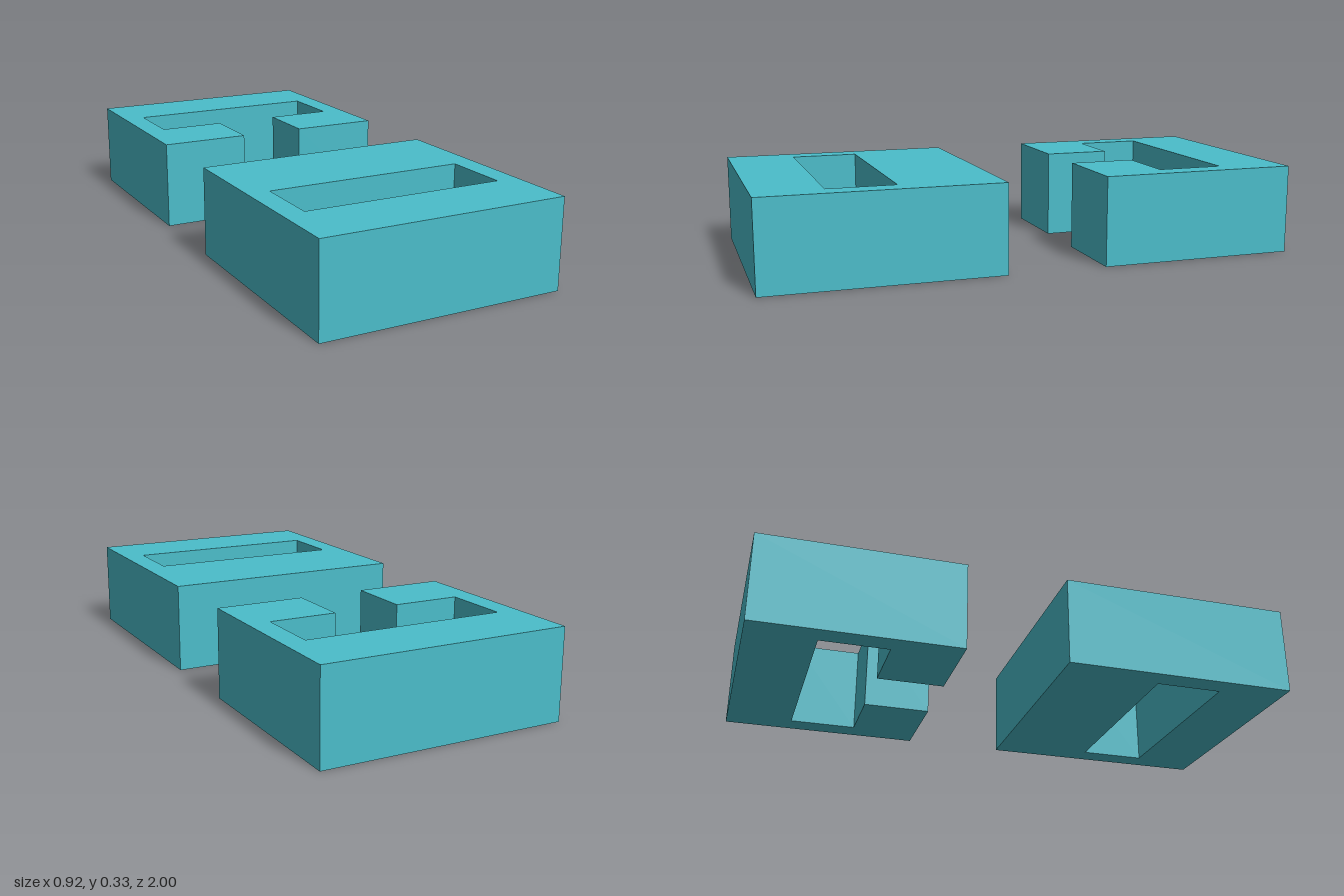
import * as THREE from 'three';

const HEIGHT = 0.333;
const HALF_WIDTH = 0.458; // outer half width
const HALF_SLOT = 0.375;  // half width of the inner openings
const HALF_GAP = 0.125;   // half width of the clasp opening

// Turns plan points [x, z] into shape points
const plan = (points) => points.map(([x, z]) => new THREE.Vector2(x, -z));

const rectangle = (halfWidth, z0, z1) =>
  plan([[-halfWidth, z1], [halfWidth, z1], [halfWidth, z0], [-halfWidth, z0]]);

// Raises a plan outline, with optional holes, from the ground
function makeBlock(name, outline, holes, material) {
  const shape = new THREE.Shape(outline);
  for (const hole of holes) shape.holes.push(new THREE.Path(hole));
  const geometry = new THREE.ExtrudeGeometry(shape, { depth: HEIGHT, bevelEnabled: false });
  geometry.rotateX(-Math.PI / 2);
  const mesh = new THREE.Mesh(geometry, material);
  mesh.name = name;
  return mesh;
}

export function createModel() {
  const teal = new THREE.MeshStandardMaterial({ color: 0x4bbdca });
  teal.name = 'teal';

  const group = new THREE.Group();
  group.name = 'slottedBlocks';

  // Front block: closed loop with a rectangular slot
  group.add(makeBlock('closedBlock', rectangle(HALF_WIDTH, 0.125, 1),
    [rectangle(HALF_SLOT, 0.5, 0.75)], teal));

  // Rear block: C-shaped loop, open toward the front; half outline mirrored in x
  const half = [
    [HALF_GAP, -0.5], [HALF_GAP, -0.25], [HALF_WIDTH, -0.25], [HALF_WIDTH, -1],
  ];
  const inner = [[HALF_SLOT, -0.75], [HALF_SLOT, -0.5]];
  const mirror = (points) => points.map(([x, z]) => [-x, z]).reverse();
  const outline = plan([...inner, ...half, ...mirror(half), ...mirror(inner)]);
  group.add(makeBlock('openBlock', outline, [], teal));

  return group;
}
